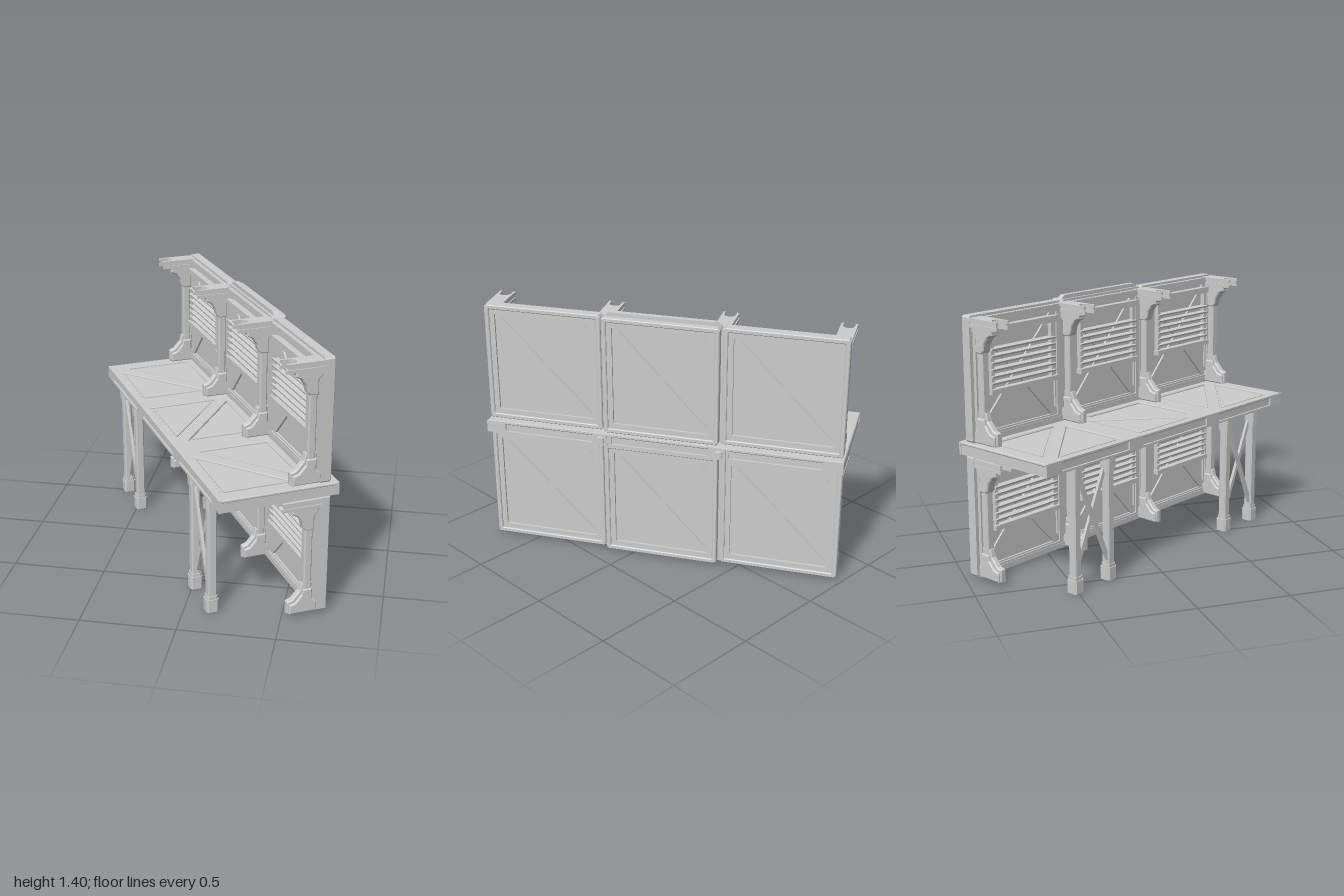
import * as THREE from 'three';

const mat = new THREE.MeshStandardMaterial({ color: 0xcccccc, flatShading: true });

function add(parent, name, geo, x = 0, y = 0, z = 0) {
  const m = new THREE.Mesh(geo, mat);
  m.name = name;
  m.position.set(x, y, z);
  parent.add(m);
  return m;
}

// box given by its min and max along each axis
function block(parent, name, x0, x1, y0, y1, z0, z1) {
  return add(parent, name, new THREE.BoxGeometry(x1 - x0, y1 - y0, z1 - z0),
    (x0 + x1) / 2, (y0 + y1) / 2, (z0 + z1) / 2);
}

const poly = pts => pts.map(p => new THREE.Vector2(p[0], p[1]));

function plate(pts, holes, depth, bevel = 0) {
  const s = new THREE.Shape(poly(pts));
  holes.forEach(h => s.holes.push(new THREE.Path(poly(h))));
  return new THREE.ExtrudeGeometry(s, {
    depth, bevelEnabled: bevel > 0,
    bevelSize: bevel, bevelThickness: bevel, bevelOffset: -bevel, bevelSegments: 1
  });
}

// rectangle with cut corners
const cutRect = (a, b, c) => [[-a + c, -b], [a - c, -b], [a, -b + c], [a, b - c],
  [a - c, b], [-a + c, b], [-a, b - c], [-a, -b + c]];
const ring = (a, b, c, w, depth, bevel) => plate(cutRect(a, b, c), [cutRect(a - w, b - w, 0.004)], depth, bevel);

// four triangular openings that leave an X of bars between them
function crossHoles(a, b, t) {
  const s = t * b / a;
  return [
    [[-a + t, b], [a - t, b], [0, s]], [[-a + t, -b], [a - t, -b], [0, -s]],
    [[-a, -b + s], [-a, b - s], [-t, 0]], [[a, -b + s], [a, b - s], [t, 0]]
  ];
}

// one wall panel: core, stepped rims and X bars on both faces
function wallPanel(a, b, bump) {
  const g = new THREE.Group();
  g.name = 'wallPanel';
  const face = 0.25 + bump;
  add(g, 'panelCore', plate(cutRect(a, b, 0.01), [], face - 0.217), 0, 0, 0.217);
  add(g, 'outerRim', ring(a, b, 0.01, 0.024, 0.018, 0.004), 0, 0, face);
  add(g, 'outerStep', ring(a - 0.022, b - 0.022, 0.004, 0.03, 0.012, 0), 0, 0, face);
  const p = a - 0.075, q = b - 0.075;
  for (const s of [-1, 1]) {
    const bar = add(g, 'outerBar', new THREE.BoxGeometry(Math.hypot(p, q) * 2, 0.036, 0.016), 0, 0, face + 0.006);
    bar.rotation.z = s * Math.atan2(q, p);
  }
  add(g, 'innerCross', plate(cutRect(a - 0.02, b - 0.012, 0.01), crossHoles(a - 0.06, b - 0.05, 0.03), 0.012), 0, 0, 0.206);
  add(g, 'innerRim', ring(a - 0.02, b - 0.012, 0.01, 0.03, 0.02, 0), 0, 0, 0.198);
  g.rotation.y = Math.PI / 2;
  return g;
}

// louvred shutter on the inner face
function shutter(z) {
  const g = new THREE.Group();
  g.name = 'shutter';
  const w = 0.225;
  block(g, 'sillRail', 0.165, 0.2, 0.975, 1.002, z - w - 0.01, z + w + 0.01);
  for (let i = 0; i < 6; i++) {
    const slat = block(g, 'slat', 0.17, 0.197, 1.027 + i * 0.035, 1.037 + i * 0.035, z - w, z + w);
    slat.rotation.z = 0.25;
  }
  for (const s of [-1, 1]) {
    const c = z + s * (w - 0.012);
    block(g, 'shutterStile', 0.18, 0.205, 0.98, 1.3, c - 0.011, c + 0.011);
  }
  block(g, 'topRail', 0.18, 0.217, 1.285, 1.318, z - 0.26, z + 0.26);
  return g;
}

// pillar with stepped foot, corbel and forked arm
function pillar(z) {
  const g = new THREE.Group();
  g.name = 'pillar';
  const side = (name, pts, w) => add(g, name, plate(pts, [], w - 0.012, 0.006), 0, 0, z - w / 2 + 0.006);
  side('column', [[0.148, 0.74], [0.19, 0.74], [0.19, 1.34], [0.148, 1.34]], 0.046);
  side('columnFoot', [[0.072, 0.738], [0.22, 0.738], [0.22, 0.79], [0.195, 0.81], [0.195, 0.87], [0.142, 0.87],
    [0.138, 0.84], [0.105, 0.8], [0.072, 0.79]], 0.058);
  side('footCore', [[0.062, 0.738], [0.2, 0.738], [0.2, 0.9], [0.14, 0.9], [0.13, 0.86], [0.09, 0.815],
    [0.062, 0.805]], 0.036);
  side('corbel', [[0.075, 1.34], [0.075, 1.3], [0.105, 1.285], [0.13, 1.25], [0.138, 1.215], [0.15, 1.2],
    [0.195, 1.2], [0.195, 1.28], [0.22, 1.3], [0.22, 1.34]], 0.055);
  side('corbelCore', [[0.06, 1.34], [0.06, 1.318], [0.12, 1.29], [0.15, 1.235], [0.19, 1.235], [0.19, 1.34]], 0.036);
  // flat arm with a rounded notch in its tip
  const fork = (n0, hw, r) => {
    const pts = [[n0, -hw], [0.225, -hw], [0.225, hw], [n0, hw], [n0, r]];
    for (let i = 0; i <= 8; i++) {
      const t = Math.PI / 2 - i * Math.PI / 8;
      pts.push([0.055 + r * Math.cos(t), r * Math.sin(t)]);
    }
    pts.push([n0, -r]);
    return pts;
  };
  [[0.018, 0.043, 0.03, 1.33], [0.026, 0.037, 0.032, 1.345], [0.018, 0.043, 0.03, 1.36]].forEach(([n0, hw, r, y]) => {
    const arm = add(g, 'forkedArm', plate(fork(n0, hw, r), [], 0.016), 0, y, z);
    arm.rotation.x = -Math.PI / 2;
  });
  return g;
}

// one storey of the wall, three bays between four pillars
function storey(name) {
  const g = new THREE.Group();
  g.name = name;
  [-1, 0, 1].forEach(i => {
    const z = i * 0.646;
    const p = wallPanel(i ? 0.32 : 0.312, 0.325, i ? 0 : 0.025);
    p.position.set(0, 1.06, z);
    g.add(p, shutter(z + 0.01));
  });
  const cap = add(g, 'middleCap', plate([[-0.31, 1.38], [0.31, 1.38], [0.28, 1.405], [-0.28, 1.405]], [], 0.03), 0.23, 0, 0);
  cap.rotation.y = Math.PI / 2;
  block(g, 'headBeam', 0.195, 0.22, 1.335, 1.372, -0.96, 0.96);
  block(g, 'baseBeam', 0.195, 0.22, 0.735, 0.765, -0.95, 0.95);
  for (const z of [-0.925, -0.31, 0.31, 0.93]) g.add(pillar(z));
  for (const z of [-0.323, 0.323]) block(g, 'jointStrip', 0.205, 0.258, 0.735, 1.37, z - 0.018, z + 0.018);
  return g;
}

// platform deck with sunken triangles and recessed edges
function platform() {
  const g = new THREE.Group();
  g.name = 'platform';
  block(g, 'deckSlab', -0.303, 0.303, 0.664, 0.722, -0.97, 0.97);
  const holes = [];
  [-1, 0, 1].forEach(i => {
    const c = -i * 0.646, a = -0.27, b = 0.165, h = 0.25, t = 0.045;
    const f = i ? 1 : -1;
    holes.push([[a, c + f * (h - t)], [b - 0.05, c - f * h], [a, c - f * h]]);
    holes.push([[a + 0.05, c + f * h], [b, c + f * h], [b, c - f * (h - t)]]);
  });
  const deck = [[-0.314, -0.974], [0.314, -0.974], [0.314, 0.974], [-0.314, 0.974]];
  const top = add(g, 'deckFrame', plate(deck, holes, 0.006, 0.005), 0, 0.721, 0);
  top.rotation.x = -Math.PI / 2;
  // ridge along each sunken triangle
  holes.forEach(([p, q, r]) => {
    const cx = (p[0] + q[0] + r[0]) / 3, cy = (p[1] + q[1] + r[1]) / 3;
    const inset = [p, q, r].map(v => [cx + (v[0] - cx) * 0.88, cy + (v[1] - cy) * 0.88]);
    add(g, 'deckPanel', plate(inset, [], 0.006), 0, 0.721, 0).rotation.x = -Math.PI / 2;
  });
  // framed edge on both long sides
  const bays = [[-0.62, 0.247], [0, 0.267], [0.62, 0.247]].map(([c, h]) =>
    [[c - h, 0.676], [c + h, 0.676], [c + h, 0.722], [c - h, 0.722]]);
  const edge = plate([[-0.974, 0.664], [0.974, 0.664], [0.974, 0.731], [-0.974, 0.731]], bays, 0.012);
  for (const s of [-1, 1]) {
    const e = add(g, 'edgeFrame', edge, s * 0.302, 0, 0);
    e.rotation.y = s * Math.PI / 2;
  }
  // bolts on the outer edge
  for (const z of [-0.323, 0.323]) {
    block(g, 'boltPlate', 0.3, 0.32, 0.668, 0.728, z - 0.035, z + 0.035);
    add(g, 'bolt', new THREE.CylinderGeometry(0.02, 0.025, 0.024, 8), 0.325, 0.698, z).rotation.z = -Math.PI / 2;
  }
  return g;
}

// pair of legs joined by crossed braces
function legPair(s) {
  const g = new THREE.Group();
  g.name = 'legPair';
  const x = -0.27, z0 = 0.495, z1 = 0.742;
  // square post section with cut corners
  const post = (name, w, y0, y1, z) => {
    const m = add(g, name, plate(cutRect(w / 2, w / 2, w * 0.15), [], y1 - y0), x, y0, s * z);
    m.rotation.x = -Math.PI / 2;
  };
  for (const z of [z0, z1]) {
    post('legShaft', 0.048, 0.02, 0.66, z);
    post('legFoot', 0.066, 0, 0.07, z);
    post('footStep', 0.056, 0.07, 0.088, z);
    post('legHead', 0.064, 0.6, 0.666, z);
    post('headStep', 0.055, 0.582, 0.6, z);
  }
  const dz = z1 - z0, dy = 0.57;
  for (const k of [-1, 1]) {
    const b = add(g, 'crossBrace', new THREE.BoxGeometry(0.016, Math.hypot(dz, dy), 0.022), x + k * 0.008, 0.365, s * (z0 + z1) / 2);
    b.rotation.x = k * Math.atan2(dz, dy);
  }
  return g;
}

export function createModel() {
  const model = new THREE.Group();
  model.name = 'wallWithWalkway';
  const body = new THREE.Group();
  body.name = 'turnedBody';
  const lower = storey('lowerWall');
  lower.position.y = -0.72;
  body.add(storey('upperWall'), lower, platform(), legPair(1), legPair(-1));
  // the wall stands at an angle to the front
  body.rotation.y = Math.PI / 6;
  model.add(body);
  return model;
}
